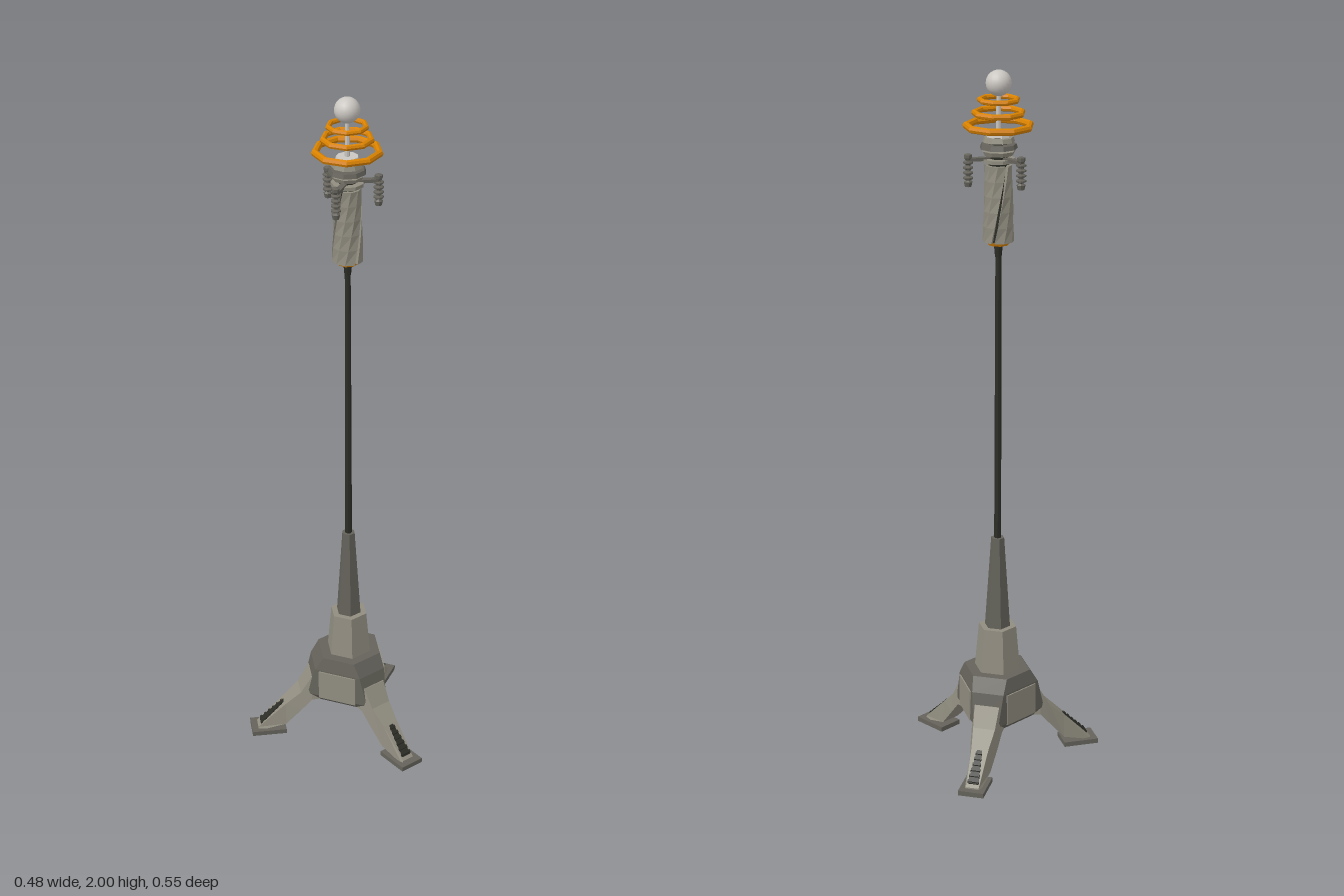
import * as THREE from 'three';

const mat = (name, color, extra = {}) => {
  const m = new THREE.MeshStandardMaterial({ color, ...extra });
  m.name = name;
  return m;
};

// Flat-shaded copy of a geometry
function flat(g) {
  const f = g.index ? g.toNonIndexed() : g;
  f.computeVertexNormals();
  return f;
}

// Closed solid through cross-sections with equal point counts
function loft(rings) {
  const pos = [];
  const tri = (...pts) => pts.forEach((p) => pos.push(...p));
  const n = rings[0].length;
  for (let k = 0; k + 1 < rings.length; k++) {
    for (let i = 0; i < n; i++) {
      const j = (i + 1) % n;
      const [a, b, c, d] = [rings[k][i], rings[k][j], rings[k + 1][j], rings[k + 1][i]];
      tri(a, b, c);
      tri(a, c, d);
    }
  }
  const first = rings[0], last = rings[rings.length - 1];
  for (let i = 1; i + 1 < n; i++) {
    tri(first[0], first[i + 1], first[i]);
    tri(last[0], last[i], last[i + 1]);
  }
  const g = new THREE.BufferGeometry();
  g.setAttribute('position', new THREE.Float32BufferAttribute(pos, 3));
  g.computeVertexNormals();
  return g;
}

export function createModel() {
  const pale = mat('pale grey metal', 0x918d80);
  const dark = mat('dark grey metal', 0x64625a);
  const black = mat('black steel', 0x2c2d26);
  const orange = mat('orange coil', 0xd98200);
  const white = mat('white ceramic', 0xcac6c1);

  const model = new THREE.Group();
  model.name = 'coilTower';
  const tower = new THREE.Group();
  tower.name = 'tower';
  tower.position.x = -0.06;
  model.add(tower);

  const add = (parent, name, geo, material, x = 0, y = 0, z = 0) => {
    const m = new THREE.Mesh(geo, material);
    m.name = name;
    m.position.set(x, y, z);
    parent.add(m);
    return m;
  };
  // Upright tapered prism between two heights
  const post = (name, y0, y1, r0, r1, sides, material, parent = tower) =>
    add(parent, name, flat(new THREE.CylinderGeometry(r1, r0, y1 - y0, sides)), material, 0, (y0 + y1) / 2, 0);

  // Hub: six-sided, short sides facing the legs
  const hubRing = ([y, long, short]) => {
    const h = (long - short * 0.5) / Math.sin(Math.PI / 3);
    const pts = [];
    for (let i = 0; i < 3; i++) {
      const c = Math.cos(i * Math.PI * 2 / 3), s = Math.sin(i * Math.PI * 2 / 3);
      for (const z of [h, -h]) pts.push([short * c + z * s, y, -short * s + z * c]);
    }
    return pts;
  };
  add(tower, 'hub', loft([
    [0.12, 0.085, 0.118], [0.14, 0.097, 0.13], [0.23, 0.094, 0.108], [0.27, 0.085, 0.084],
  ].map(hubRing)), dark);

  // Leg cross-sections: distance out, top, bottom, half width
  const legGeo = loft([
    [0.08, 0.215, 0.122, 0.045], [0.118, 0.195, 0.12, 0.045], [0.15, 0.14, 0.082, 0.04],
    [0.195, 0.098, 0.03, 0.031], [0.278, 0.018, 0.008, 0.023],
  ].map(([x, t, b, w]) => [[x, b, -w], [x, t, -w * 0.8], [x, t, w * 0.8], [x, b, w]]));

  // Inset grip on the leg's slope, wider toward the foot
  const gripPoint = (x, w, up) => {
    const y = 0.098 - (x - 0.195) * (0.08 / 0.083) + up;
    return [[x, y - 0.006, -w], [x, y, -w], [x, y, w], [x, y - 0.006, w]];
  };
  const gripGeo = loft([gripPoint(0.199, 0.007, 0.003), gripPoint(0.27, 0.015, 0.003)]);

  for (let i = 0; i < 3; i++) {
    const side = new THREE.Group();
    side.name = 'leg' + (i + 1);
    side.rotation.y = i * Math.PI * 2 / 3;
    tower.add(side);
    add(side, 'legStrut', legGeo, pale);
    add(side, 'legGrip', gripGeo, black);
    for (let k = 0; k < 6; k++) {
      const x = 0.204 + k * 0.012, w = 0.009 + k * 0.0015;
      add(side, 'gripRib', loft([gripPoint(x, w, 0.006), gripPoint(x + 0.005, w, 0.006)]), black);
    }
    add(side, 'footPlate', new THREE.BoxGeometry(0.102, 0.014, 0.074), dark, 0.246, 0.007, 0);
    // Cover plate between neighbouring legs
    const cover = new THREE.Group();
    cover.name = 'hubCover' + (i + 1);
    cover.rotation.y = (i * 2 + 1) * Math.PI / 3;
    tower.add(cover);
    add(cover, 'hubPanel', new THREE.BoxGeometry(0.009, 0.092, 0.116), pale, 0.0935, 0.18, 0);
  }

  // Mast
  post('lowerMast', 0.27, 0.4, 0.067, 0.055, 6, pale);
  post('middleMast', 0.4, 0.67, 0.037, 0.019, 6, dark);
  post('pole', 0.67, 1.54, 0.01, 0.008, 8, black);
  post('poleCollar', 1.49, 1.535, 0.009, 0.013, 8, black);

  // Head: three twisted shells round a core
  post('headBase', 1.525, 1.537, 0.028, 0.034, 9, orange);
  post('headCore', 1.535, 1.745, 0.033, 0.029, 9, black);
  for (let i = 0; i < 3; i++) {
    const rings = [];
    for (let k = 0; k <= 5; k++) {
      const t = k / 5, r = 0.043 - 0.006 * t, pts = [];
      const at = (deg, rad) => {
        const a = (deg + i * 120 + t * 60) * Math.PI / 180;
        return [rad * Math.cos(a), 1.535 + 0.21 * t, -rad * Math.sin(a)];
      };
      for (const d of [0, 36, 72, 108]) pts.push(at(d, r));
      for (const d of [108, 72, 36, 0]) pts.push(at(d, r - 0.012));
      rings.push(pts);
    }
    add(tower, 'headShell' + (i + 1), loft(rings), pale);
  }

  // Stacked discs over the head
  post('stackCore', 1.74, 1.835, 0.026, 0.026, 9, black);
  post('carrierPlate', 1.753, 1.763, 0.045, 0.045, 9, pale);
  post('lowerDisc', 1.772, 1.784, 0.04, 0.046, 9, pale);
  post('middleDisc', 1.79, 1.802, 0.052, 0.048, 9, dark);
  post('upperDisc', 1.808, 1.82, 0.044, 0.04, 9, pale);
  post('topCap', 1.822, 1.836, 0.034, 0.03, 9, white);

  // Three arms with hanging ribbed insulators
  const ribs = [[0, 1.69], [0.009, 1.69], [0.012, 1.703]];
  for (let k = 0; k < 4; k++) {
    const y = 1.708 + k * 0.014;
    ribs.push([0.007, y], [0.014, y + 0.004], [0.014, y + 0.008], [0.007, y + 0.011]);
  }
  ribs.push([0.011, 1.768], [0.011, 1.777], [0, 1.781]);
  const insulatorGeo = flat(new THREE.LatheGeometry(ribs.map(([x, y]) => new THREE.Vector2(x, y)), 8));
  for (let i = 0; i < 3; i++) {
    const arm = new THREE.Group();
    arm.name = 'insulatorArm' + (i + 1);
    arm.rotation.y = (i * 2 + 1) * Math.PI / 3;
    tower.add(arm);
    add(arm, 'armBar', new THREE.BoxGeometry(0.065, 0.009, 0.016), dark, 0.057, 1.763, 0);
    add(arm, 'insulator', insulatorGeo, dark, 0.084, 0, 0);
  }

  // Antenna rod, coil rings and ball
  post('antennaRod', 1.83, 1.95, 0.007, 0.006, 8, white);
  for (const [y, r, tube] of [[1.85, 0.087, 0.01], [1.885, 0.065, 0.0085], [1.92, 0.051, 0.0075]]) {
    const g = flat(new THREE.TorusGeometry(r, tube, 8, 9).rotateX(-Math.PI / 2));
    add(tower, 'coilRing', g, orange, 0, y, 0);
  }
  add(tower, 'antennaBall', new THREE.SphereGeometry(0.035, 20, 14), white, 0, 1.965, 0);

  return model;
}
